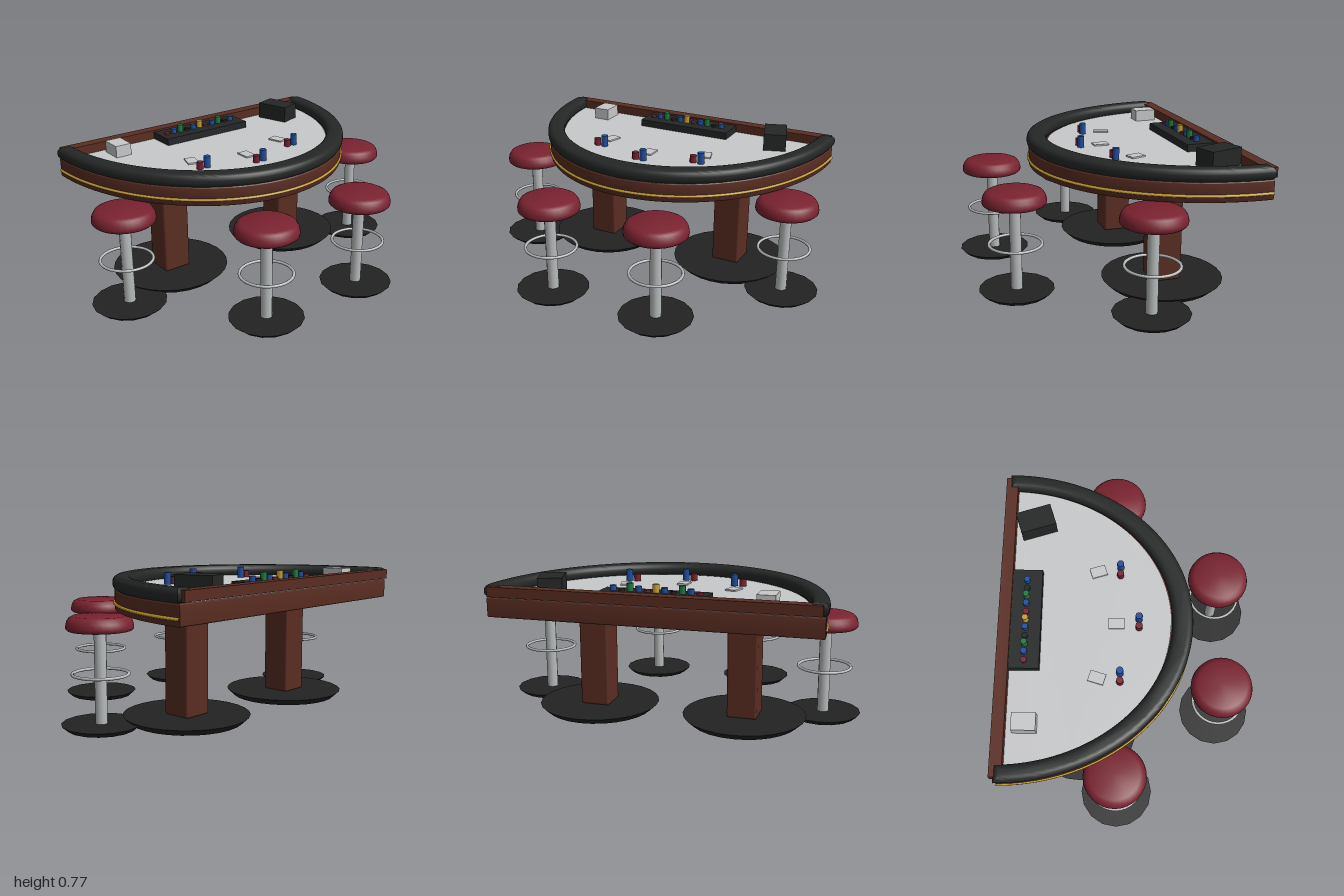
import * as THREE from 'three';
import { toCreasedNormals } from 'three/addons/utils/BufferGeometryUtils.js';
import { RoundedBoxGeometry } from 'three/addons/geometries/RoundedBoxGeometry.js';

const mat = (name, color, side = THREE.FrontSide) => {
  const m = new THREE.MeshStandardMaterial({ color, side });
  m.name = name;
  return m;
};

const BACK = -0.68; // z of the table's straight edge

export function createModel() {
  const wood = mat('mahogany', 0x5a2d22);
  const leather = mat('black leather', 0x252727);
  const black = mat('black base', 0x222222);
  const felt = mat('pale felt', 0xc8c9cb);
  const red = mat('dark red', 0x7a2230);
  const steel = mat('steel', 0xb8bcbc);
  const gold = mat('gold', 0xc9a035);
  const blue = mat('blue chip', 0x1f4fa0);
  const green = mat('green chip', 0x1f7a40);

  const model = new THREE.Group();
  model.name = 'cardTableSet';

  const add = (parent, name, geo, material, x = 0, y = 0, z = 0) => {
    const mesh = new THREE.Mesh(geo, material);
    mesh.name = name;
    mesh.position.set(x, y, z);
    parent.add(mesh);
    return mesh;
  };
  const group = (name, x = 0, y = 0, z = 0) => {
    const g = new THREE.Group();
    g.name = name;
    g.position.set(x, y, z);
    model.add(g);
    return g;
  };

  // Half ellipse in plan, optionally hollowed to a horseshoe
  const halfEllipse = (rx, rz, innerX, innerZ) => {
    const s = new THREE.Shape();
    s.moveTo(rx, BACK);
    s.absellipse(0, BACK, rx, rz, 0, Math.PI, false);
    if (innerX) {
      s.lineTo(-innerX, BACK);
      s.absellipse(0, BACK, innerX, innerZ, Math.PI, 0, true);
    }
    s.closePath();
    return s;
  };
  // Plan shape extruded between two heights
  const slab = (shape, y0, y1, bevel) => {
    const geo = new THREE.ExtrudeGeometry(shape, {
      depth: y1 - y0 - 2 * bevel, curveSegments: 56, bevelEnabled: bevel > 0,
      bevelThickness: bevel, bevelSize: bevel, bevelOffset: -bevel, bevelSegments: 4,
    });
    geo.rotateX(Math.PI / 2).translate(0, y1 - bevel, 0);
    return toCreasedNormals(geo, 0.6);
  };

  // Table top
  const table = group('table');
  add(table, 'apron', slab(halfEllipse(0.858, 1.003), 0.57, 0.675, 0.008), wood);
  add(table, 'playingSurface', slab(halfEllipse(0.785, 0.896), 0.674, 0.682, 0), felt);
  add(table, 'armRail', slab(halfEllipse(0.87, 1.012, 0.78, 0.9), 0.67, 0.742, 0.03), leather);
  add(table, 'backBoard', new THREE.BoxGeometry(1.69, 0.052, 0.065), wood, 0, 0.706, -0.6675);

  // Gold trim around the curved edge
  const trimPoints = [];
  for (let i = 0; i <= 32; i++) {
    const a = (i / 32) * Math.PI;
    trimPoints.push(new THREE.Vector3(0.859 * Math.cos(a), 0.605, BACK + 1.004 * Math.sin(a)));
  }
  add(table, 'goldTrim',
    new THREE.TubeGeometry(new THREE.CatmullRomCurve3(trimPoints), 80, 0.008, 6), gold);

  // Pedestals
  for (const side of [-1, 1]) {
    add(table, 'tableLeg', new RoundedBoxGeometry(0.16, 0.54, 0.16, 2, 0.012), wood, side * 0.41, 0.308, -0.29);
    add(table, 'tableFoot', new THREE.CylinderGeometry(0.328, 0.29, 0.035, 28), black, side * 0.41, 0.0225, -0.29);
  }

  // Chip tray with a row of stacks
  const top = 0.682;
  const tray = group('chipTray', 0, top, -0.555);
  add(tray, 'trayBox', new THREE.BoxGeometry(0.56, 0.04, 0.16), leather, 0, 0.02, 0);
  const trayColours = [red, blue, green, black, blue, gold];
  for (let i = 0; i < 11; i++) {
    const h = 0.052 + 0.015 * (i % 3);
    add(tray, 'chipStack', new THREE.CylinderGeometry(0.017, 0.017, h, 10),
      trayColours[i % 6], -0.235 + 0.045 * i, h / 2, 0);
  }

  // Bets and cards at each place
  for (const [x, z, turn] of [[-0.318, -0.055, -0.3], [-0.016, 0.045, 0], [0.286, -0.055, 0.3]]) {
    const place = group('bettingPlace', x, top, z);
    add(place, 'redStack', new THREE.CylinderGeometry(0.019, 0.019, 0.04, 10), red, -0.023, 0.02, 0);
    add(place, 'blueStack', new THREE.CylinderGeometry(0.019, 0.019, 0.063, 10), blue, 0.023, 0.0315, 0);
    add(place, 'card', new THREE.BoxGeometry(0.06, 0.008, 0.085), felt, 0, 0.004, -0.12).rotation.y = turn;
  }

  // Card shoe and discard box
  add(model, 'cardShoe', new THREE.BoxGeometry(0.126, 0.095, 0.195), leather, 0.565, top + 0.047, -0.52)
    .rotation.y = 0.31;
  add(model, 'discardBox', new THREE.BoxGeometry(0.093, 0.066, 0.125), felt, -0.567, top + 0.033, -0.538);

  // Stools
  const seatProfile = [[0, 0.495], [0.158, 0.495], [0.166, 0.503], [0.167, 0.515], [0.162, 0.538],
    [0.15, 0.557], [0.132, 0.566], [0, 0.568]].map(([r, y]) => new THREE.Vector2(r, y));
  const seatGeo = toCreasedNormals(new THREE.LatheGeometry(seatProfile, 32), 0.8);
  const postGeo = new THREE.CylinderGeometry(0.031, 0.031, 0.47, 12);
  const ringGeo = new THREE.TorusGeometry(0.139, 0.008, 8, 32).rotateX(Math.PI / 2);
  const footGeo = new THREE.CylinderGeometry(0.2, 0.17, 0.026, 16);
  for (const [x, z] of [[0.8, -0.08], [0.318, 0.492]]) {
    for (const side of [-1, 1]) {
      const stool = group('stool', side * x, 0, z);
      add(stool, 'stoolSeat', seatGeo, red);
      add(stool, 'stoolPost', postGeo, steel, 0, 0.262, 0);
      add(stool, 'footRing', ringGeo, steel, 0, 0.277, 0);
      add(stool, 'stoolFoot', footGeo, black, 0, 0.015, 0);
    }
  }
  return model;
}
